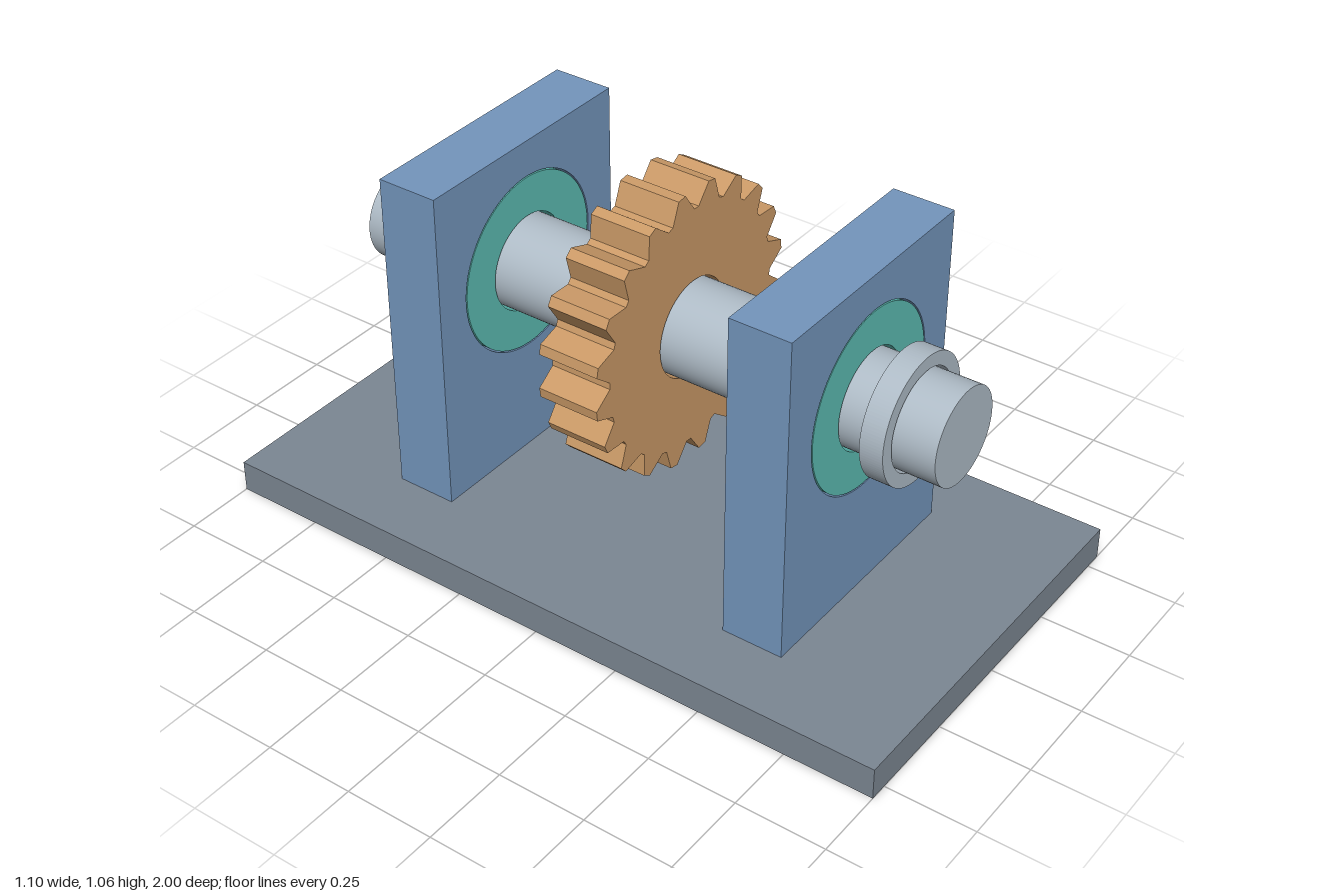
import * as THREE from 'three';

const mat = (name, color) => {
  const m = new THREE.MeshStandardMaterial({ color });
  m.name = name;
  return m;
};

const AXIS_Y = 0.66, BORE = 0.137;

export function createModel() {
  const group = new THREE.Group();
  const baseGrey = mat('base grey', 0x7c8793);
  const blue = mat('support blue', 0x7496bd);
  const teal = mat('bearing teal', 0x5dbdb4);
  const steel = mat('steel', 0xb0bdc8);
  const bronze = mat('gear bronze', 0xcc9b68);

  const add = (name, geometry, material, y = 0, z = 0) => {
    const mesh = new THREE.Mesh(geometry, material);
    mesh.name = name;
    mesh.position.set(0, y, z);
    group.add(mesh);
  };

  // Extrudes a shape with a round hole, centred on z
  const bored = (shape, holeRadius, depth) => {
    shape.holes.push(new THREE.Path().absarc(0, 0, holeRadius, 0, Math.PI * 2, true));
    return new THREE.ExtrudeGeometry(shape, { depth, bevelEnabled: false, curveSegments: 64 })
      .translate(0, 0, -depth / 2);
  };
  const disc = (r) => new THREE.Shape().absarc(0, 0, r, 0, Math.PI * 2, false);

  // Base plate
  add('basePlate', new THREE.BoxGeometry(1.1, 0.09, 2), baseGrey, 0.045);

  // Shaft along z
  add('shaft', new THREE.CylinderGeometry(0.131, 0.131, 1.74, 64).rotateX(Math.PI / 2), steel, AXIS_Y);

  // Supports, bearings and collars at both ends
  for (const [side, s] of [['front', 1], ['back', -1]]) {
    const plate = new THREE.Shape([[-0.353, -0.57], [0.353, -0.57], [0.353, 0.354], [-0.353, 0.354]]
      .map(([x, y]) => new THREE.Vector2(x, y)));
    add(side + 'Support', bored(plate, 0.253, 0.173), blue, AXIS_Y, s * 0.522);
    add(side + 'Bearing', bored(disc(0.249), BORE, 0.173), teal, AXIS_Y, s * 0.522);
    add(side + 'Collar', bored(disc(0.175), BORE, 0.065), steel, AXIS_Y, s * 0.7225);
  }

  // Gear with trapezoidal teeth: [radius, angle from tooth centre in degrees]
  const teeth = 20, points = [];
  const tooth = [[0.342, -7.5], [0.397, -2], [0.397, 2], [0.342, 7.5]];
  for (let i = 0; i < teeth; i++) {
    for (const [r, a] of tooth) {
      const t = THREE.MathUtils.degToRad(6.8 + (i * 360) / teeth + a);
      points.push(new THREE.Vector2(r * Math.cos(t), r * Math.sin(t)));
    }
  }
  add('gear', bored(new THREE.Shape(points), BORE, 0.175), bronze, AXIS_Y);

  return group;
}
